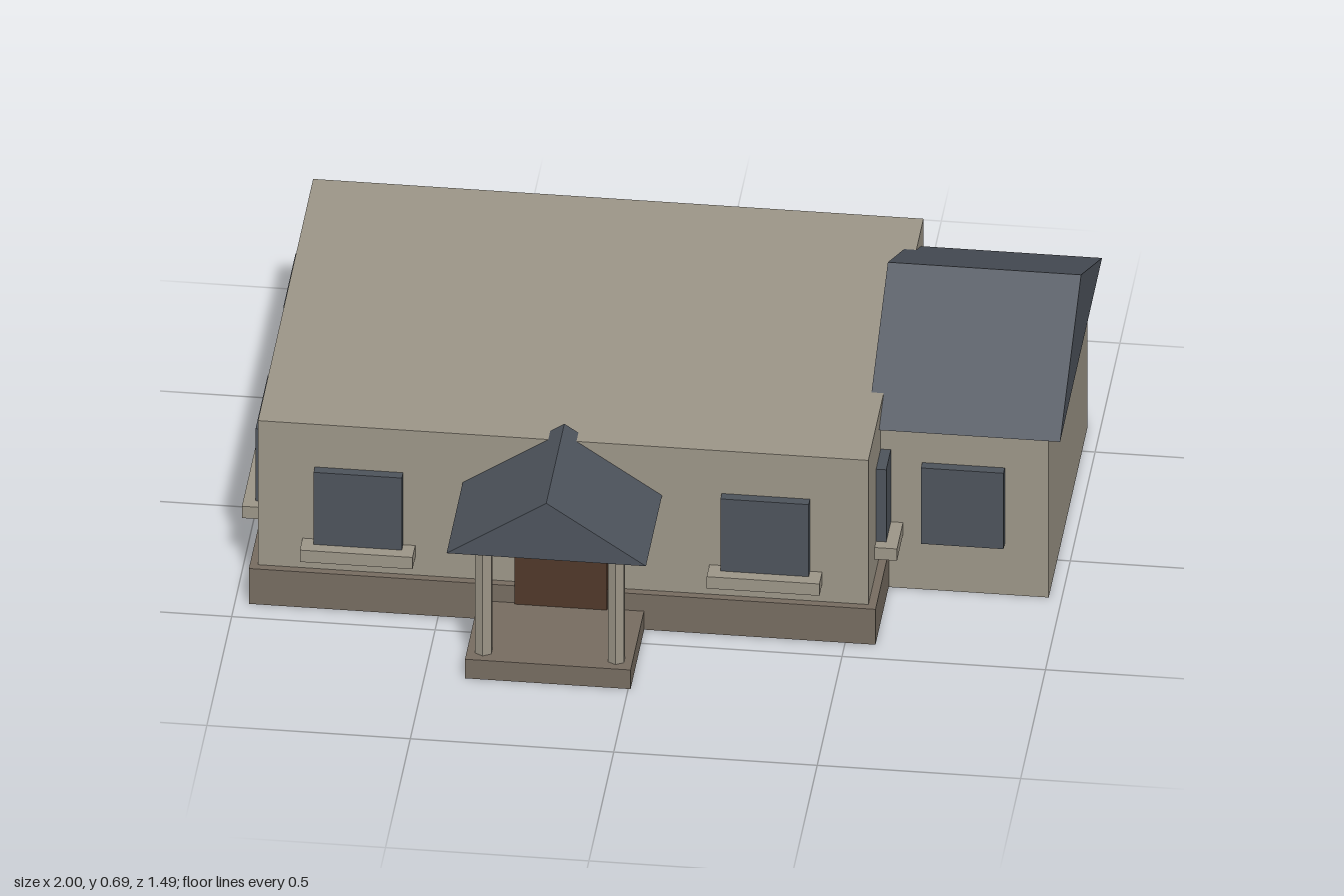
import * as THREE from 'three';

const material = (name, color) => {
  const m = new THREE.MeshStandardMaterial({ color });
  m.name = name;
  return m;
};

export function createModel() {
  const house = new THREE.Group();
  house.name = 'house';
  const wall = material('stone wall', 0x9c9587);
  const base = material('dark stone', 0x766c60);
  const slate = material('slate', 0x4d535c);
  const glass = material('window glass', 0x4d535b);
  const wood = material('door wood', 0x4f3829);

  const add = (name, geometry, mat, parent = house) => {
    const mesh = new THREE.Mesh(geometry, mat);
    mesh.name = name;
    parent.add(mesh);
    return mesh;
  };

  // Box given by its extents along each axis
  const box = (name, mat, [x0, x1], [y0, y1], [z0, z1], parent) => {
    const mesh = add(name, new THREE.BoxGeometry(x1 - x0, y1 - y0, z1 - z0), mat, parent);
    mesh.position.set((x0 + x1) / 2, (y0 + y1) / 2, (z0 + z1) / 2);
    return mesh;
  };

  // Solid gable roof, ridge running along z from the origin
  const gable = (name, width, height, length) => {
    const shape = new THREE.Shape();
    shape.moveTo(-width / 2, 0);
    shape.lineTo(width / 2, 0);
    shape.lineTo(0, height);
    shape.closePath();
    return add(name, new THREE.ExtrudeGeometry(shape, { depth: length, bevelEnabled: false }), slate);
  };

  // Main block and side wing
  box('mainWalls', wall, [-0.945, 0.555], [0, 0.52], [-0.69, 0.42]);
  box('plinth', base, [-0.965, 0.575], [0.002, 0.104], [-0.71, 0.44]);
  box('wingWalls', wall, [0.54, 0.968], [0, 0.474], [-0.605, 0.172]);
  box('wingWindow', glass, [0.657, 0.86], [0.147, 0.366], [0.15, 0.197]);
  const wingRoof = gable('wingRoof', 0.845, 0.217, 0.475);
  wingRoof.rotation.y = Math.PI / 2;
  wingRoof.position.set(0.525, 0.472, -0.218);

  // Window with sill, facing +z before it is turned
  const addWindow = (x, z, turn, width, sillWidth) => {
    const group = new THREE.Group();
    group.name = 'window';
    group.position.set(x, 0, z);
    group.rotation.y = turn;
    box('pane', glass, [-width / 2, width / 2], [0.187, 0.397], [-0.02, 0.025], group);
    box('sill', wall, [-sillWidth / 2, sillWidth / 2], [0.155, 0.189], [-0.02, 0.055], group);
    house.add(group);
  };
  for (const x of [-0.697, 0.303]) addWindow(x, 0.42, 0, 0.217, 0.277);
  for (const x of [-0.697, -0.197, 0.303]) addWindow(x, -0.69, Math.PI, 0.217, 0.277);
  for (const z of [-0.418, 0.142]) addWindow(-0.945, z, -Math.PI / 2, 0.245, 0.303);
  addWindow(0.555, 0.142, Math.PI / 2, 0.245, 0.303);

  // Entrance porch
  box('door', wood, [-0.311, -0.084], [0.05, 0.39], [0.41, 0.446]);
  box('porchStep', base, [-0.401, 0.006], [0, 0.055], [0.42, 0.71]);
  for (const side of [-1, 1]) {
    const column = add('porchColumn', new THREE.CylinderGeometry(0.023, 0.023, 0.33, 6).toNonIndexed(), wall);
    column.geometry.computeVertexNormals();
    column.position.set(-0.197 + side * 0.163, 0.218, 0.667);
  }
  gable('porchRoof', 0.49, 0.163, 0.365).position.set(-0.197, 0.38, 0.38);

  return house;
}
